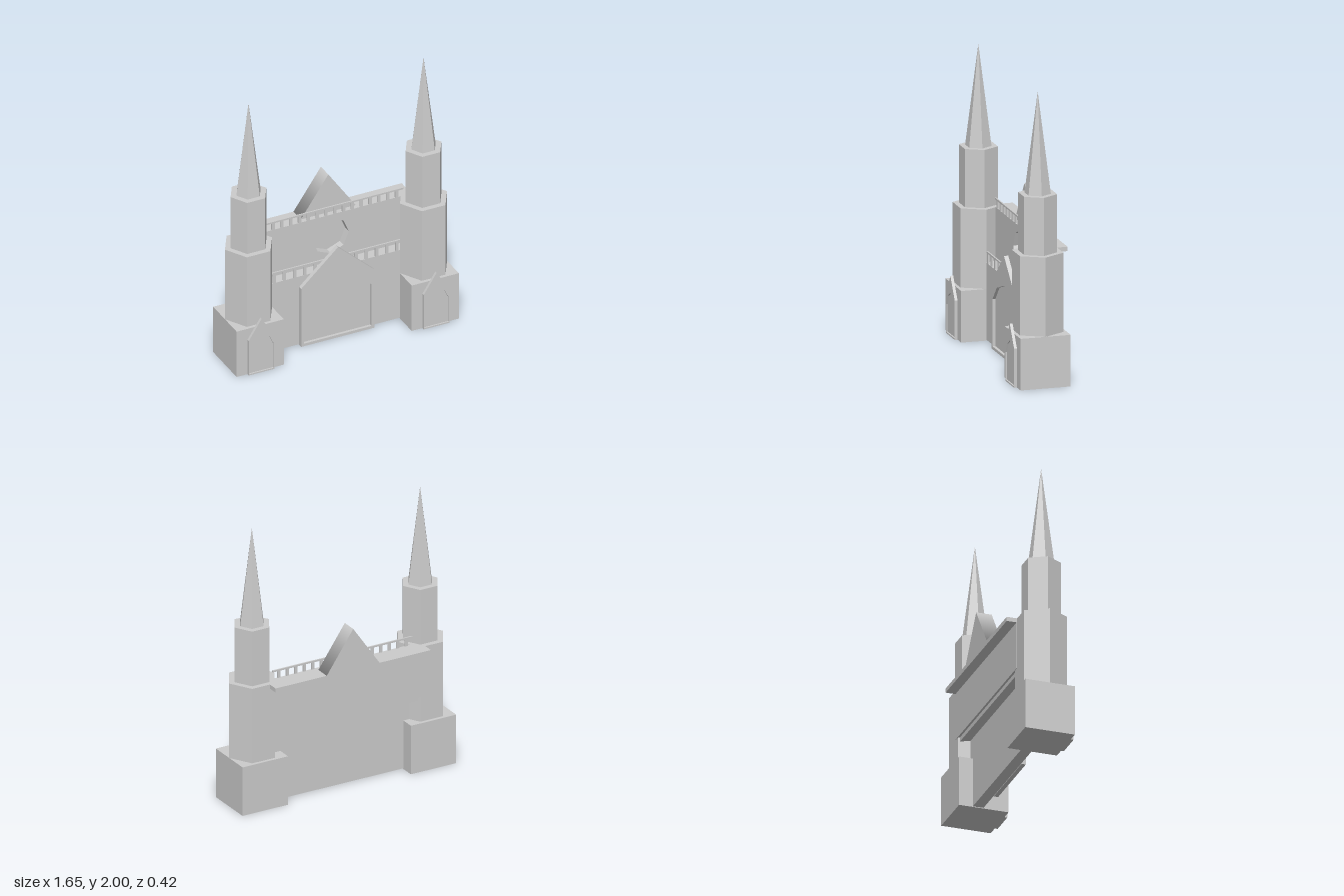
import * as THREE from 'three';

const grey = new THREE.MeshStandardMaterial({ color: 0xcccccc, flatShading: true });
const smoothGrey = new THREE.MeshStandardMaterial({ color: 0xcccccc });

function add(parent, name, geometry, material = grey) {
  const mesh = new THREE.Mesh(geometry, material);
  mesh.name = name;
  parent.add(mesh);
  return mesh;
}

// Box given by its extents on each axis
function block(parent, name, [x0, x1], [y0, y1], [z0, z1]) {
  const mesh = add(parent, name, new THREE.BoxGeometry(x1 - x0, y1 - y0, z1 - z0));
  mesh.position.set((x0 + x1) / 2, (y0 + y1) / 2, (z0 + z1) / 2);
  return mesh;
}

// Six-sided shaft with corners on the x axis
function hexagon(parent, name, rTop, rBottom, y0, y1) {
  const geometry = new THREE.CylinderGeometry(rTop, rBottom, y1 - y0, 6).rotateY(Math.PI / 2);
  add(parent, name, geometry).position.y = (y0 + y1) / 2;
}

const toPoints = (list) => list.map(([x, y]) => new THREE.Vector2(x, y));

// Mirrors the right half of an outline, listed bottom to apex
function mirrored(half) {
  const left = half.slice(0, -1).reverse().map(([x, y]) => [-x, y]);
  return toPoints([...half, ...left]);
}

// Plate with an opening, extruded forward from z
function pierced(parent, name, outer, inner, z, depth) {
  const shape = new THREE.Shape(outer);
  shape.holes.push(new THREE.Path(inner));
  const geometry = new THREE.ExtrudeGeometry(shape, { depth, bevelEnabled: false });
  add(parent, name, geometry).position.z = z;
}

// Gabled door surround with a recessed arched panel
function portal(name, outerHalf, innerHalf, depth, recess) {
  const group = new THREE.Group();
  group.name = name;
  const outer = mirrored(outerHalf);
  pierced(group, 'doorSurround', outer, mirrored(innerHalf), depth - recess, recess);
  add(group, 'doorPanel', new THREE.ExtrudeGeometry(new THREE.Shape(outer),
    { depth: depth - recess, bevelEnabled: false }));
  return group;
}

// Balustrade: evenly spaced posts under a thin handrail
function railing(parent, name, halfWidth, posts, y, height, z) {
  const group = new THREE.Group();
  group.name = name;
  parent.add(group);
  block(group, 'handrail', [-halfWidth, halfWidth], [y + height - 0.012, y + height], [z - 0.01, z]);
  for (const x of posts) {
    block(group, 'baluster', [x - 0.011, x + 0.011], [y, y + height - 0.012], [z - 0.01, z]);
  }
}

function tower(side) {
  const group = new THREE.Group();
  group.name = side > 0 ? 'leftTower' : 'rightTower';
  group.position.set(side * 0.65, 0, 0.015);
  block(group, 'towerBase', [-0.175, 0.175], [0, 0.355], [-0.175, 0.175]);
  hexagon(group, 'lowerShaft', 0.175, 0.175, 0.35, 0.9);
  hexagon(group, 'upperShaft', 0.133, 0.133, 0.9, 1.3);
  hexagon(group, 'spire', 0, 0.09, 1.3, 2);
  const door = portal('sidePortal',
    [[0.095, 0], [0.095, 0.27], [0, 0.417]],
    [[0.09, 0.01], [0.09, 0.2], [0.06, 0.265], [0, 0.3]], 0.02, 0.01);
  door.position.z = 0.175;
  group.add(door);
  return group;
}

export function createModel() {
  const model = new THREE.Group();
  model.name = 'cathedralFacade';

  // Towers
  model.add(tower(1), tower(-1));

  // Lower storey with its floor slab
  block(model, 'lowerWall', [-0.6, 0.6], [0.005, 0.505], [-0.062, 0.013]);
  block(model, 'lowerSlab', [-0.6, 0.6], [0.505, 0.535], [-0.125, 0.013]);

  // Upper storey with a recessed octagonal window
  const octagon = [];
  for (let i = 0; i < 8; i++) {
    const a = (i * Math.PI) / 4;
    octagon.push([0.135 * Math.cos(a), 0.734 + 0.135 * Math.sin(a)]);
  }
  pierced(model, 'upperWall',
    toPoints([[-0.6, 0.535], [0.6, 0.535], [0.6, 0.87], [-0.6, 0.87]]),
    toPoints(octagon), -0.12, 0.055);
  block(model, 'windowPanel', [-0.6, 0.6], [0.535, 0.87], [-0.14, -0.12]);
  block(model, 'upperSlab', [-0.6, 0.6], [0.87, 0.9], [-0.21, -0.065]);

  // Balustrades
  const lowerPosts = Array.from({ length: 13 }, (_, i) => (i - 6) * 0.076);
  const upperPosts = Array.from({ length: 16 }, (_, i) => (i - 7.5) * 0.0655);
  railing(model, 'lowerRailing', 0.5, lowerPosts, 0.535, 0.08, 0.013);
  railing(model, 'upperRailing', 0.54, upperPosts, 0.9, 0.062, -0.065);

  // Roof gable: three-sided prism with its ridge along z
  const prism = new THREE.CylinderGeometry(1, 1, 0.11, 3).rotateX(-Math.PI / 2);
  prism.scale(0.2425, 0.203, 1);
  add(model, 'roofGable', prism, smoothGrey).position.set(0, 0.993, -0.155);

  // Central portal
  const door = portal('centralPortal',
    [[0.272, 0], [0.272, 0.455], [0, 0.705]],
    [[0.25, 0.02], [0.25, 0.345], [0.16, 0.445], [0, 0.5]], 0.03, 0.02);
  door.position.z = 0.013;
  model.add(door);

  return model;
}
